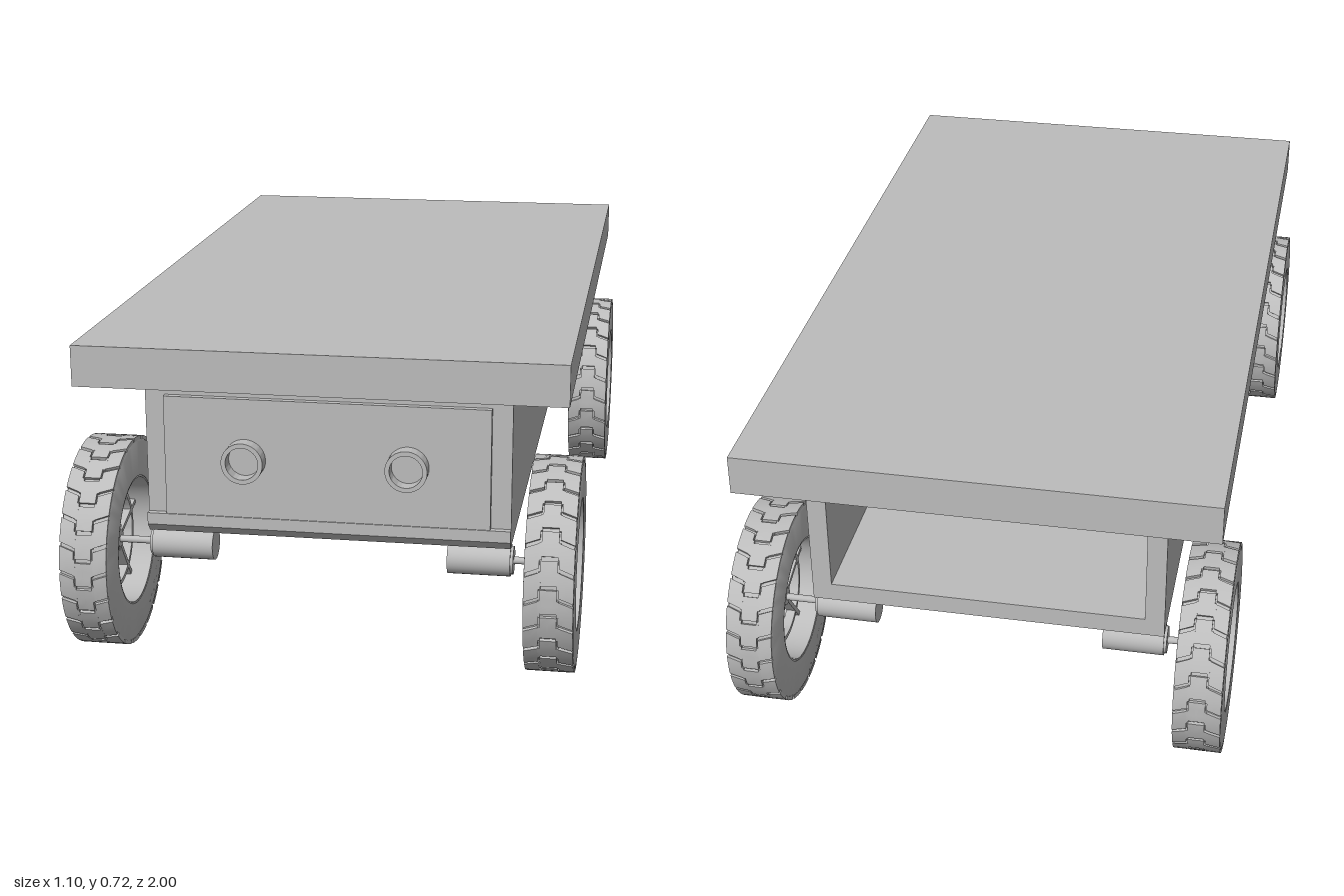
import * as THREE from 'three';
import { mergeGeometries, toCreasedNormals } from 'three/addons/utils/BufferGeometryUtils.js';

const grey = new THREE.MeshStandardMaterial({ color: 0xbcbcbc });
grey.name = 'plain grey';

const WHEEL_R = 0.235, WHEEL_X = 0.497, WHEEL_Z = 0.765;

function part(name, geometry, x = 0, y = 0, z = 0) {
  const mesh = new THREE.Mesh(geometry, grey);
  mesh.name = name;
  mesh.position.set(x, y, z);
  return mesh;
}

// Closed [radius, offset] profile turned about the x axis
function ringX(points, segments = 72) {
  const p = [...points, points[0]].map(([r, a]) => new THREE.Vector2(r, a));
  return toCreasedNormals(new THREE.LatheGeometry(p, segments).rotateZ(-Math.PI / 2), 0.5);
}

function rectRing(inner, outer, half) {
  return ringX([[outer, -half], [outer, half], [inner, half], [inner, -half]]);
}

// Curved tread block: a box wrapped round the axle and skewed along x
function treadBlock(x, width, angle, span, skew) {
  const g = new THREE.BoxGeometry(width, 0.009, span, 2, 1, 3);
  const pos = g.attributes.position;
  for (let i = 0; i < pos.count; i++) {
    const r = WHEEL_R - 0.0045 + pos.getY(i);
    const t = angle + pos.getZ(i) + skew * pos.getX(i);
    pos.setXYZ(i, pos.getX(i) + x, r * Math.cos(t), r * Math.sin(t));
  }
  return g;
}

function treadGeometry() {
  const blocks = [], count = 24, step = (Math.PI * 2) / count;
  for (let i = 0; i < count; i++) {
    const a = i * step;
    blocks.push(treadBlock(0, 0.036, a, step * 0.86, 0));
    for (const s of [-1, 1]) {
      blocks.push(treadBlock(s * 0.0365, 0.031, a + step / 2, step * 0.86, s * 1.6));
    }
  }
  // Narrow ribs joining the block rows
  for (const s of [-1, 1]) {
    for (let i = 0; i < count; i++) {
      blocks.push(treadBlock(s * 0.0195, 0.005, (i + 0.25) * step, step * 0.6, 0));
    }
  }
  return toCreasedNormals(mergeGeometries(blocks), 0.5);
}

function spokesGeometry() {
  const spokes = [];
  for (let i = 0; i < 5; i++) {
    const a = (i * Math.PI * 2) / 5;
    spokes.push(new THREE.BoxGeometry(0.022, 0.13, 0.01).translate(0, 0.083, 0).rotateX(a));
    // Tapered root giving the hub its star shape
    const root = new THREE.CylinderGeometry(0.004, 0.014, 0.045, 4).rotateY(Math.PI / 4);
    spokes.push(root.translate(0, 0.035, 0).rotateX(a).toNonIndexed());
  }
  return mergeGeometries(spokes.map((g) => (g.index ? g.toNonIndexed() : g)));
}

const axial = (r, length) => new THREE.CylinderGeometry(r, r, length, 32).rotateZ(Math.PI / 2);

function driveUnit() {
  const unit = new THREE.Group();
  unit.name = 'driveUnit';

  const wheel = new THREE.Group();
  wheel.name = 'wheel';
  wheel.position.x = WHEEL_X;
  wheel.add(
    part('tyre', ringX([
      [0.228, -0.05], [0.228, 0.05], [0.222, 0.053], [0.145, 0.053],
      [0.145, -0.053], [0.222, -0.053],
    ])),
    part('tread', treadGeometry()),
    part('rim', rectRing(0.141, 0.147, 0.052)),
    part('spokeRing', rectRing(0.102, 0.112, 0.011)),
    part('spokes', spokesGeometry()),
    part('hub', axial(0.02, 0.03)),
  );

  unit.add(
    wheel,
    part('axle', axial(0.008, 0.12), 0.455),
    part('motor', axial(0.036, 0.138), 0.331),
    part('motorCap', axial(0.031, 0.006), 0.403),
  );
  return unit;
}

function rectangle(Type, w, y0, y1) {
  const r = new Type();
  r.moveTo(-w, y0);
  r.lineTo(w, y0);
  r.lineTo(w, y1);
  r.lineTo(-w, y1);
  r.closePath();
  return r;
}

export function createModel() {
  const model = new THREE.Group();
  model.name = 'cart';

  // Flat deck
  model.add(part('deck', new THREE.BoxGeometry(1.054, 0.09, 1.855), 0, 0.68, -0.003));

  // Hollow body, open at the back
  const section = rectangle(THREE.Shape, 0.402, 0.28, 0.637);
  section.holes.push(rectangle(THREE.Path, 0.358, 0.323, 0.592));
  const body = new THREE.ExtrudeGeometry(section, { depth: 1.615, bevelEnabled: false });
  model.add(part('body', body, 0, 0, -0.81));

  // Panel closing the front
  model.add(part('frontPanel', new THREE.BoxGeometry(0.716, 0.269, 0.04), 0, 0.4575, 0.8));

  // Chamfered lip under the panel
  const lip = new THREE.Shape([[0.8, 0.277], [0.804, 0.277], [0.82, 0.296], [0.82, 0.322], [0.8, 0.322]]
    .map(([z, y]) => new THREE.Vector2(-z, y)));
  const lipGeometry = new THREE.ExtrudeGeometry(lip, { depth: 0.804, bevelEnabled: false });
  model.add(part('frontLip', lipGeometry.translate(0, 0, -0.402).rotateY(Math.PI / 2)));

  // Two round sensor tubes
  for (const s of [-1, 1]) {
    const tube = rectRing(0.036, 0.046, 0.02).rotateY(Math.PI / 2);
    model.add(part('sensorTube', tube, s * 0.179, 0.456, 0.833));
  }

  // Four wheels with motors
  for (const z of [-WHEEL_Z, WHEEL_Z]) {
    for (const turn of [0, Math.PI]) {
      const unit = driveUnit();
      unit.position.set(0, WHEEL_R + 0.002, z);
      unit.rotation.y = turn;
      model.add(unit);
    }
  }
  return model;
}
